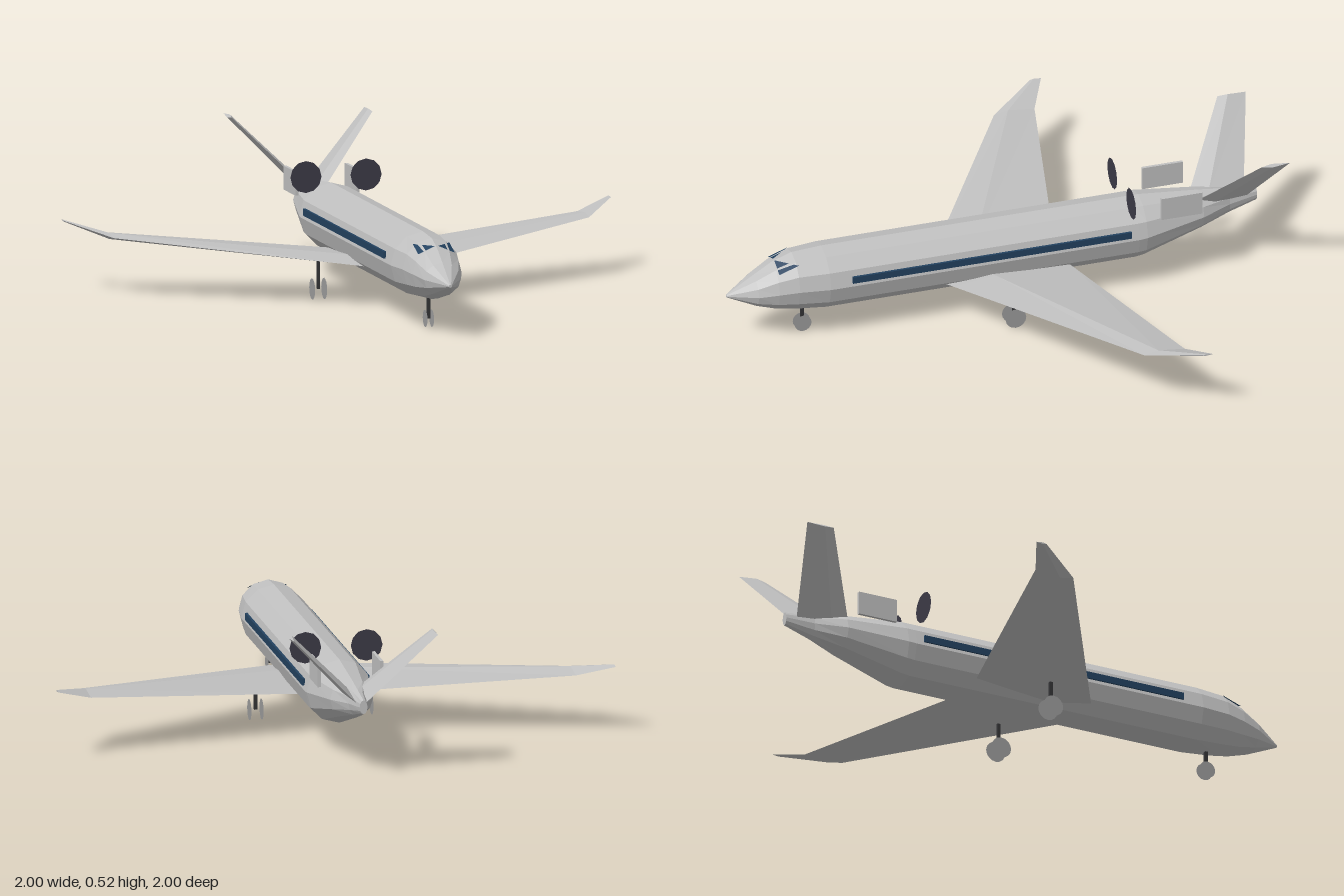
import * as THREE from 'three';

const material = (name, color, extra = {}) =>
  Object.assign(new THREE.MeshStandardMaterial({ color, flatShading: true, ...extra }), { name });

// Skin a list of equal-length rings and close both ends
function loft(rings) {
  const pos = [];
  const tri = (...pts) => pts.forEach((p) => pos.push(...p));
  const n = rings[0].length;
  for (let s = 0; s < rings.length - 1; s++) {
    const a = rings[s], b = rings[s + 1];
    for (let i = 0; i < n; i++) {
      const j = (i + 1) % n;
      tri(a[i], a[j], b[j]);
      tri(a[i], b[j], b[i]);
    }
  }
  const first = rings[0], last = rings[rings.length - 1];
  for (let i = 1; i < n - 1; i++) {
    tri(first[0], first[i + 1], first[i]);
    tri(last[0], last[i], last[i + 1]);
  }
  const g = new THREE.BufferGeometry();
  g.setAttribute('position', new THREE.Float32BufferAttribute(pos, 3));
  g.computeVertexNormals();
  return g;
}

// Tapered surface with a diamond section; stations are [x, y, leading z, trailing z, half thickness]
function panel(stations, side, nx = 0, ny = 1) {
  return loft(stations.map(([x, y, front, back, t]) => {
    const mid = front + (back - front) * 0.35;
    const ring = [
      [x + nx * t, y + ny * t, mid],
      [x, y, front],
      [x - nx * t, y - ny * t, mid],
      [x, y, back],
    ].map(([px, py, pz]) => [px * side, py, pz]);
    return side < 0 ? ring.reverse() : ring;
  }));
}

export function createModel() {
  const grey = material('bodyGrey', 0xc0c0c0);
  const wheelGrey = material('wheelGrey', 0x9c9c9c, { side: THREE.DoubleSide });
  const dark = material('engineDark', 0x3c3a46, { side: THREE.DoubleSide });
  const strutDark = material('strutDark', 0x333335);
  const blue = material('windowBlue', 0x234260, { side: THREE.DoubleSide });

  const model = new THREE.Group();
  model.name = 'airplane';
  const add = (name, geometry, mat, x = 0, y = 0, z = 0) => {
    const mesh = new THREE.Mesh(geometry, mat);
    mesh.name = name;
    mesh.position.set(x, y, z);
    model.add(mesh);
    return mesh;
  };

  // Fuselage, tail to nose: [z, bottom, top, half width]
  const sections = [
    [-0.955, 0.235, 0.285, 0.014],
    [-0.85, 0.204, 0.298, 0.033],
    [-0.74, 0.171, 0.312, 0.077],
    [-0.52, 0.104, 0.333, 0.117],
    [-0.49, 0.1, 0.333, 0.118],
    [0.65, 0.1, 0.333, 0.118],
    [0.76, 0.109, 0.326, 0.105],
    [0.83, 0.12, 0.301, 0.09],
    [0.9, 0.142, 0.258, 0.068],
    [1.0, 0.184, 0.194, 0.006],
  ];
  add('fuselage', loft(sections.map(([z, bottom, top, w]) =>
    Array.from({ length: 12 }, (_, i) => {
      const a = (i / 12) * Math.PI * 2;
      return [Math.cos(a) * w, (top + bottom) / 2 + Math.sin(a) * (top - bottom) / 2, z];
    }))), grey);

  for (const side of [1, -1]) {
    const label = side > 0 ? 'left' : 'right';

    // Swept wing with upturned tip
    add(label + 'Wing', panel([
      [0.03, 0.142, 0.254, -0.226, 0.018],
      [0.117, 0.15, 0.2, -0.245, 0.018],
      [0.87, 0.21, -0.265, -0.415, 0.011],
      [1.0, 0.25, -0.44, -0.48, 0.003],
    ], side), grey);

    // Slanted tail fin
    add(label + 'TailFin', panel([
      [0.015, 0.265, -0.705, -0.915, 0.013],
      [0.258, 0.52, -0.895, -1.0, 0.007],
    ], side, -0.72, 0.69), grey);

    // Cabin window strip
    add(label + 'CabinWindows', new THREE.BoxGeometry(0.009, 0.025, 1.03), blue,
      side * 0.1165, 0.242, 0.055);

    // Cockpit window
    const pane = new THREE.BufferGeometry();
    pane.setAttribute('position', new THREE.Float32BufferAttribute([
      side * 0.067, 0.306, 0.753,
      side * 0.067, 0.28, 0.825,
      side * 0.006, 0.307, 0.825,
    ], 3));
    pane.computeVertexNormals();
    add(label + 'CockpitWindow', pane, blue);

    // Engine intake disc and the plate behind it
    add(label + 'EngineDisc', new THREE.CircleGeometry(0.057, 12), dark, side * 0.11, 0.366, -0.46);
    add(label + 'EnginePlate', new THREE.BoxGeometry(0.011, 0.085, 0.15), grey,
      side * 0.112, 0.326, -0.645);
  }

  // Landing gear: a strut between two flat wheels
  const gear = (name, x, z, radius, gap, top) => {
    const y = radius + 0.003;
    add(name + 'Strut', new THREE.BoxGeometry(0.011, top - y, 0.011), strutDark, x, (top + y) / 2, z);
    for (const s of [-1, 1]) {
      add(name + 'Wheel', new THREE.CircleGeometry(radius, 16), wheelGrey, x + s * gap, y, z)
        .rotation.y = Math.PI / 2;
    }
  };
  gear('noseGear', 0, 0.72, 0.031, 0.012, 0.12);
  gear('leftGear', 0.197, 0, 0.038, 0.022, 0.15);
  gear('rightGear', -0.197, 0, 0.038, 0.022, 0.15);

  // Rest the wheels on the ground
  const box = new THREE.Box3().setFromObject(model);
  model.children.forEach((m) => { m.position.y -= box.min.y; });
  return model;
}
